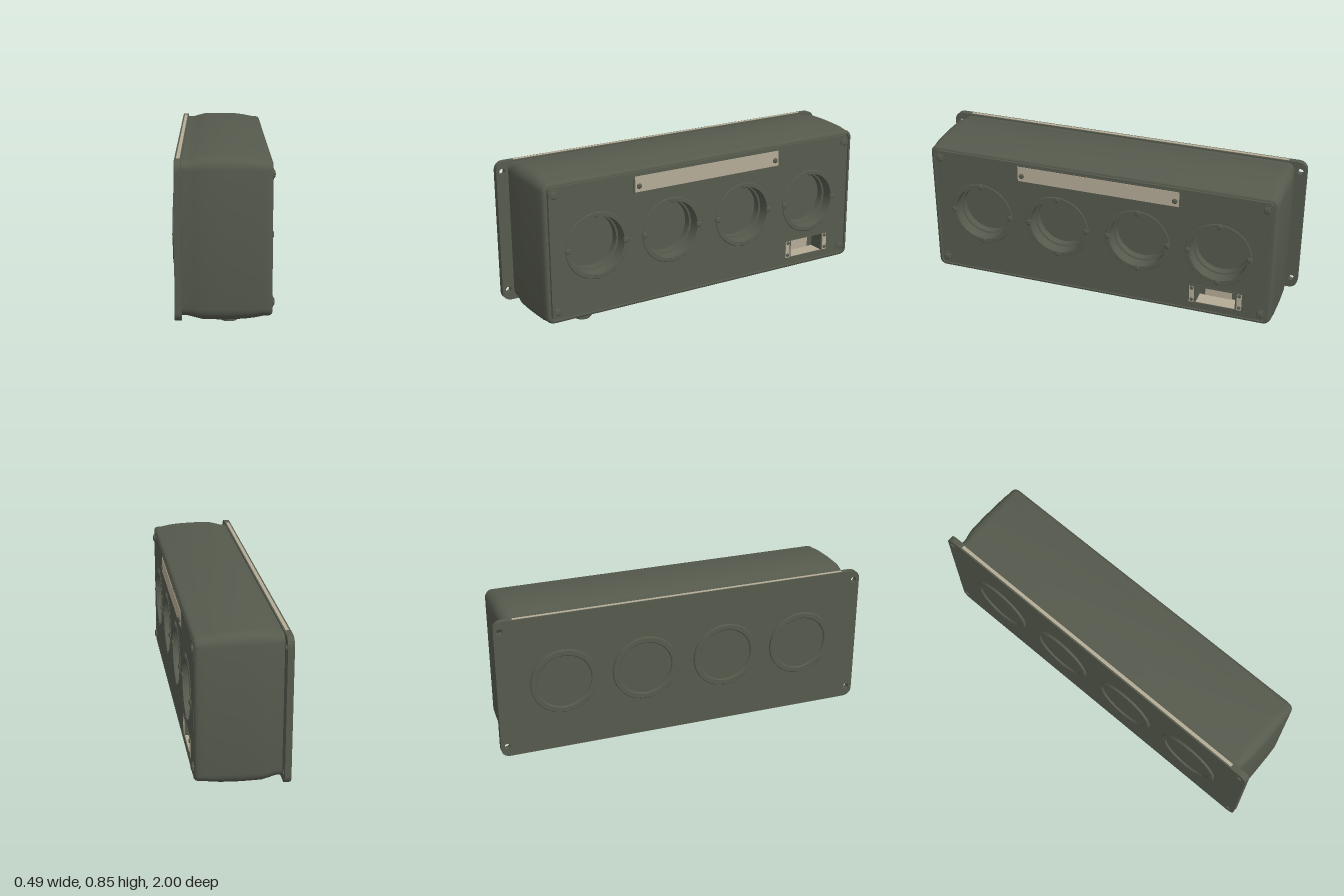
import * as THREE from 'three';
import { toCreasedNormals } from 'three/addons/utils/BufferGeometryUtils.js';

const paint = new THREE.MeshStandardMaterial({ color: 0x565a4d });
paint.name = 'olive paint';
const bare = new THREE.MeshStandardMaterial({ color: 0xb5ab96 });
bare.name = 'bare beige metal';

const MID = 0.46;                         // height of the box centre
const PORTS = [0.66, 0.225, -0.22, -0.655]; // port positions along z
const PORT_Y = 0.465;

export function createModel() {
  const model = new THREE.Group();

  const add = (name, geo, mat = paint) => {
    const m = new THREE.Mesh(geo, mat);
    m.name = name;
    model.add(m);
    return m;
  };
  // box from its limits
  const box = (name, x0, x1, y0, y1, z0, z1, mat) =>
    add(name, new THREE.BoxGeometry(x1 - x0, y1 - y0, z1 - z0), mat)
      .position.set((x0 + x1) / 2, (y0 + y1) / 2, (z0 + z1) / 2);
  // lathe whose axis points along +x; profile is [radius, x]
  const latheX = (profile, sides) => toCreasedNormals(
    new THREE.LatheGeometry(profile.map(p => new THREE.Vector2(...p)), sides).rotateZ(-Math.PI / 2), 0.6);
  // plate drawn in (-z, y) and extruded along +x
  const plateX = (shape, depth) =>
    new THREE.ExtrudeGeometry(shape, { depth, bevelEnabled: false, curveSegments: 24 }).rotateY(Math.PI / 2);

  // rounded rectangle outline, counter-clockwise as seen from +x
  const roundRect = (hw, hh, r, n = 5) => {
    const pts = [];
    [[1, 1], [-1, 1], [-1, -1], [1, -1]].forEach(([sx, sy], c) => {
      for (let i = 0; i <= n; i++) {
        const a = (c + i / n) * Math.PI / 2;
        pts.push(new THREE.Vector2(sx * (hw - r) + r * Math.cos(a), MID + sy * (hh - r) + r * Math.sin(a)));
      }
    });
    return pts;
  };
  const circleHole = (shape, u, y, r) => {
    const p = new THREE.Path();
    p.absarc(u, y, r, 0, Math.PI * 2, true);
    shape.holes.push(p);
  };

  // swollen housing: rounded sections [x, half length, half height, corner radius]
  const sections = [
    [-0.21, 0.935, 0.368, 0.04], [-0.17, 0.937, 0.37, 0.045], [-0.14, 0.943, 0.378, 0.05],
    [-0.1, 0.95, 0.389, 0.06], [0, 0.951, 0.39, 0.06], [0.09, 0.95, 0.387, 0.06],
    [0.14, 0.949, 0.379, 0.05], [0.18, 0.947, 0.37, 0.045], [0.207, 0.945, 0.368, 0.04],
    [0.219, 0.94, 0.364, 0.035], [0.225, 0.932, 0.358, 0.03],
    [0.225, 0.924, 0.351, 0.025], [0.212, 0.924, 0.351, 0.025], [0.212, 0.9, 0.33, 0.02],
  ];
  const pos = [], index = [];
  sections.forEach(([x, hw, hh, r]) => roundRect(hw, hh, r).forEach(p => pos.push(x, p.y, -p.x)));
  const n = pos.length / 3 / sections.length;
  for (let s = 0; s < sections.length - 1; s++) {
    for (let i = 0; i < n; i++) {
      const a = s * n + i, b = s * n + (i + 1) % n;
      index.push(a, b, b + n, a, b + n, a + n);
    }
  }
  const shell = new THREE.BufferGeometry();
  shell.setAttribute('position', new THREE.Float32BufferAttribute(pos, 3));
  shell.setIndex(index);
  add('housing', toCreasedNormals(shell, 0.8));

  // front cover, pierced for the ports and the slot
  const cover = new THREE.Shape(roundRect(0.917, 0.345, 0.02));
  PORTS.forEach(z => circleHole(cover, -z, PORT_Y, 0.16));
  cover.holes.push(new THREE.Path([[0.545, 0.155], [0.545, 0.25], [0.755, 0.25], [0.755, 0.155]]
    .map(p => new THREE.Vector2(...p))));
  add('frontCover', plateX(cover, 0.02)).position.x = 0.205;

  // mounting flange with corner holes
  const flange = new THREE.Shape(roundRect(1, 0.378, 0.045));
  for (const u of [-0.967, 0.967]) for (const y of [0.14, 0.785]) circleHole(flange, u, y, 0.016);
  add('mountingFlange', plateX(flange, 0.032)).position.x = -0.232;
  box('wornFlangeEdge', -0.224, -0.207, 0.836, 0.8395, -0.9, 0.9, bare);

  // domed screw head, facing +x or -x
  const screw = (x, y, z, r, h, dir = 1) => {
    const m = add('screw', latheX([[r, -0.004], [r, h * 0.45], [r * 0.75, h * 0.8], [r * 0.4, h], [0, h]], 12));
    m.position.set(x, y, z);
    if (dir < 0) m.rotation.y = Math.PI;
  };

  // recessed ports in front, sealing rings behind
  const port = latheX([[0.176, 0.215], [0.176, 0.226], [0.173, 0.229], [0.154, 0.229], [0.15, 0.17],
    [0.14, 0.168], [0.139, 0.13], [0, 0.13]], 40);
  const ring = latheX([[0.176, 0.225], [0.176, 0.241], [0.173, 0.244], [0.148, 0.244], [0.144, 0.24],
    [0.144, 0.234], [0, 0.234]], 40);
  for (const z of PORTS) {
    add('portWell', port).position.set(0, PORT_Y, z);
    const back = add('backRing', ring);
    back.position.set(0, PORT_Y, z);
    back.rotation.y = Math.PI;
    for (let i = 0; i < 4; i++) {
      const a = i * Math.PI / 2, dy = 0.163 * Math.sin(a), dz = 0.163 * Math.cos(a);
      screw(0.228, PORT_Y + dy, z + dz, 0.016, 0.008);
      screw(-0.243, PORT_Y + dy * 0.98, z + dz * 0.98, 0.012, 0.003, -1);
    }
  }

  // corner bolts with washers
  for (const z of [-0.89, 0.89]) {
    for (const y of [0.155, 0.765]) {
      add('washer', latheX([[0.027, -0.005], [0.027, 0.004], [0, 0.004]], 16)).position.set(0.225, y, z);
      screw(0.228, y, z, 0.02, 0.009);
    }
  }

  // blank name plate
  box('namePlateFrame', 0.22, 0.2275, 0.698, 0.793, -0.45, 0.45);
  box('namePlate', 0.224, 0.23, 0.704, 0.787, -0.44, 0.44, bare);
  for (const z of [-0.418, 0.418]) screw(0.229, 0.735, z, 0.014, 0.011);

  // recessed slot with bare lower surfaces and side tabs
  box('slotBack', 0.13, 0.14, 0.145, 0.26, -0.765, -0.535);
  box('slotRoof', 0.13, 0.222, 0.25, 0.256, -0.765, -0.535);
  box('slotFloor', 0.13, 0.224, 0.147, 0.156, -0.765, -0.535, bare);
  box('slotSide', 0.13, 0.222, 0.15, 0.255, -0.545, -0.538);
  box('slotSide', 0.13, 0.222, 0.15, 0.255, -0.762, -0.755);
  box('slotBackPatch', 0.138, 0.143, 0.156, 0.21, -0.72, -0.575, bare);
  for (const z of [-0.522, -0.777]) {
    box('slotTab', 0.222, 0.228, 0.155, 0.25, z - 0.013, z + 0.013, bare);
    for (const y of [0.17, 0.24]) screw(0.227, y, z, 0.01, 0.007);
  }
  for (const y of [0.149, 0.255]) box('slotTrim', 0.222, 0.228, y - 0.004, y + 0.004, -0.79, -0.509);

  // cable gland underneath
  const gland = (name, r, y0, y1, sides) => {
    const g = new THREE.CylinderGeometry(r, r, y1 - y0, sides);
    add(name, toCreasedNormals(g, 0.6)).position.set(0.025, (y0 + y1) / 2, 0.655);
  };
  gland('glandCollar', 0.049, 0.056, 0.085, 24);
  gland('glandNut', 0.051, 0.011, 0.056, 8);
  gland('glandTip', 0.04, 0, 0.012, 24);

  return model;
}
